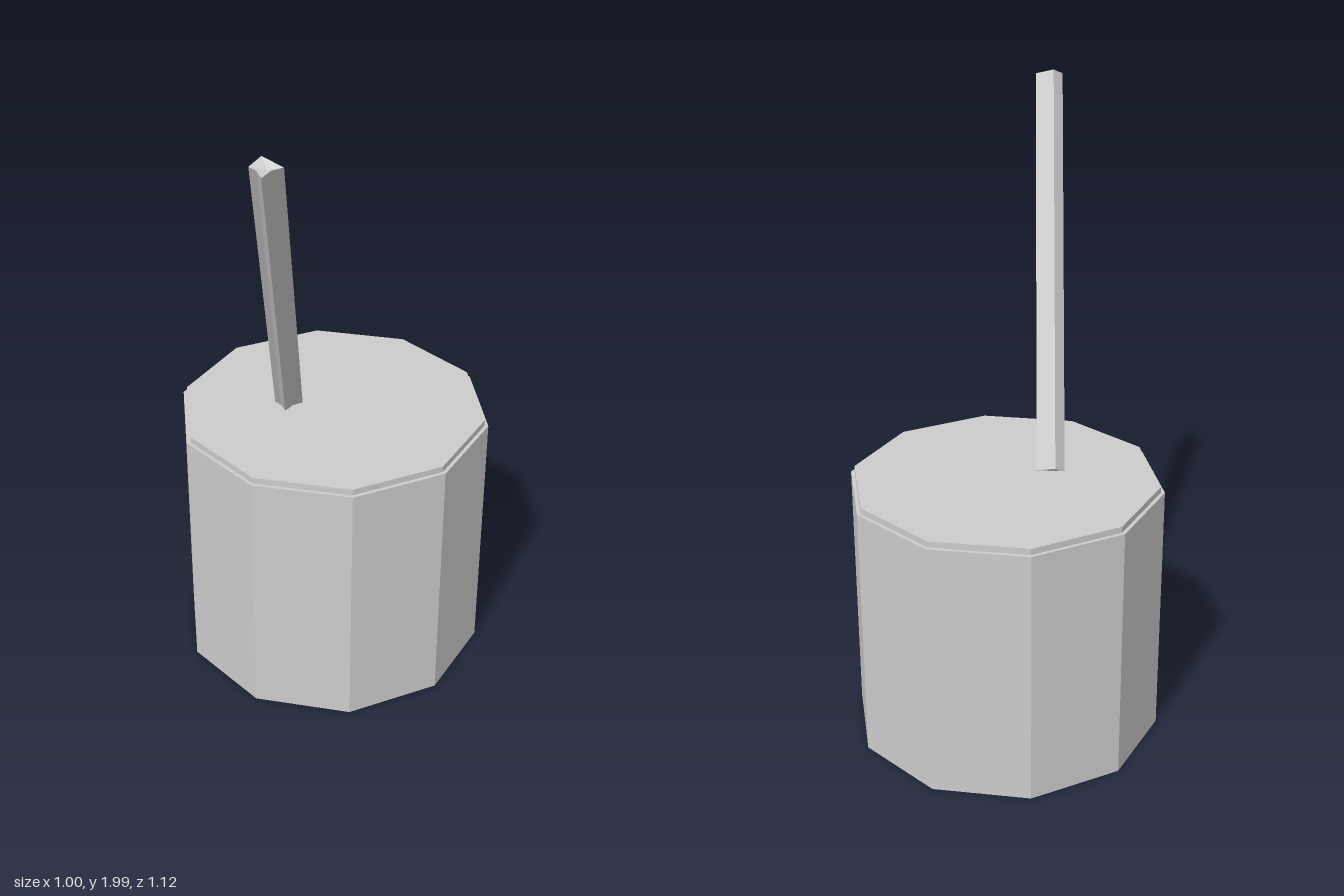
import * as THREE from 'three';

const SIDES = 10;
const CENTRE_Z = -0.085;

// Four-cornered rod with slightly hollowed lower faces and dished ends
function rodGeometry(length) {
  const profile = [
    [0.044, 0], [-0.014, 0.033], [-0.044, 0],
    [-0.024, -0.011], [-0.01, -0.033], [0.012, -0.011],
  ];
  const n = profile.length;
  const pos = [];
  const at = (i, z) => [...profile[i % n], z];
  for (let i = 0; i < n; i++) {
    const a = at(i, 0), b = at(i + 1, 0), c = at(i + 1, length), d = at(i, length);
    pos.push(...a, ...b, ...c, ...a, ...c, ...d);
    pos.push(...b, ...a, 0, 0, 0.012);
    pos.push(...d, ...c, 0, 0, length - 0.012);
  }
  const g = new THREE.BufferGeometry();
  g.setAttribute('position', new THREE.Float32BufferAttribute(pos, 3));
  g.computeVertexNormals();
  return g;
}

export function createModel() {
  const model = new THREE.Group();
  const grey = new THREE.MeshStandardMaterial({ color: 0xcccccc, flatShading: true });
  grey.name = 'light grey';

  // Ten-sided drum and its slightly narrower lid
  const drum = (name, radius, y0, y1) => {
    const mesh = new THREE.Mesh(
      new THREE.CylinderGeometry(radius, radius, y1 - y0, SIDES, 1, false, Math.PI / 2), grey);
    mesh.name = name;
    mesh.position.set(0, (y0 + y1) / 2, CENTRE_Z);
    model.add(mesh);
  };
  drum('body', 0.5, 0, 0.84);
  drum('lid', 0.488, 0.84, 0.86);

  // Slanted stick leaning towards the front left
  const foot = new THREE.Vector3(-0.087, 0.872, 0.028);
  const tip = new THREE.Vector3(0.409, 1.977, 0.524);
  const axis = tip.clone().sub(foot);
  const length = axis.length();
  axis.normalize();
  const side = new THREE.Vector3(1, 0, -1).normalize();
  const up = axis.clone().cross(side);
  const stick = new THREE.Mesh(rodGeometry(length), grey);
  stick.name = 'stick';
  stick.quaternion.setFromRotationMatrix(new THREE.Matrix4().makeBasis(side, up, axis));
  stick.position.copy(foot);
  model.add(stick);

  return model;
}
